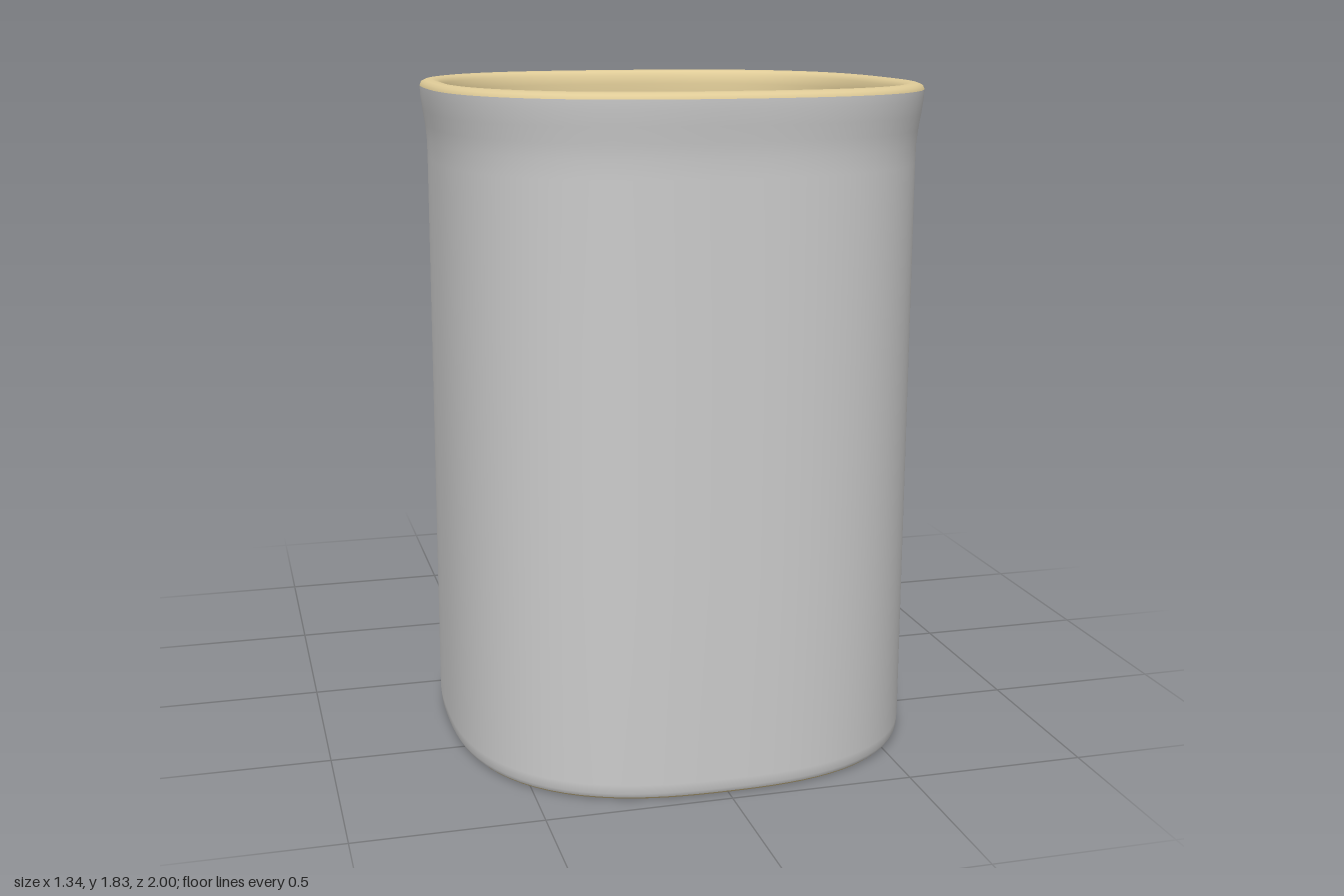
import * as THREE from 'three';

const SEG = 96;
const CENTRE_Z = 0.32;

// Point on a unit rounded square (superellipse) at angle t
function roundedSquare(t, n) {
  const c = Math.cos(t), s = Math.sin(t);
  const r = Math.pow(Math.pow(Math.abs(c), n) + Math.pow(Math.abs(s), n), -1 / n);
  return [c * r, s * r];
}

// Smooth skin over rows of closed loops; place(row, t) gives each point
function loft(rows, seg, place) {
  const pos = [], index = [];
  rows.forEach((row, i) => {
    for (let j = 0; j < seg; j++) {
      pos.push(...place(row, (j / seg) * Math.PI * 2));
      if (i === rows.length - 1) continue;
      const a = i * seg + j, c = i * seg + (j + 1) % seg;
      index.push(a, a + seg, c, c, a + seg, c + seg);
    }
  });
  const geo = new THREE.BufferGeometry();
  geo.setAttribute('position', new THREE.Float32BufferAttribute(pos, 3));
  geo.setIndex(index);
  geo.computeVertexNormals();
  return geo;
}

// Sweep a [radius, height] profile round the mug's rounded-square plan
function mugSkin(profile) {
  return loft(profile, SEG, ([r, y], t) => {
    const [x, z] = roundedSquare(t, 2.6);
    return [x * r, y, CENTRE_Z + z * r * 1.011];
  });
}

// Handle outlines as [z, y], running from the upper joint to the lower one
const OUTER = [[-0.31, 1.50], [-0.35, 1.50], [-0.42, 1.508], [-0.55, 1.518], [-0.70, 1.523], [-0.84, 1.515],
  [-0.93, 1.46], [-0.98, 1.34], [-1.0, 1.2], [-0.985, 1.04], [-0.945, 0.89], [-0.86, 0.765],
  [-0.74, 0.665], [-0.62, 0.585], [-0.52, 0.49], [-0.43, 0.375], [-0.36, 0.305], [-0.31, 0.28]];
const INNER = [[-0.31, 1.20], [-0.36, 1.235], [-0.42, 1.30], [-0.50, 1.365], [-0.60, 1.395], [-0.70, 1.40],
  [-0.78, 1.375], [-0.825, 1.31], [-0.843, 1.2], [-0.84, 1.08], [-0.825, 0.975], [-0.785, 0.895],
  [-0.69, 0.81], [-0.60, 0.735], [-0.52, 0.68], [-0.43, 0.643], [-0.36, 0.622], [-0.31, 0.61]];

function handleGeometry() {
  const curve = (pts) => new THREE.CatmullRomCurve3(pts.map(([z, y]) => new THREE.Vector3(0, y, z)));
  const outer = curve(OUTER), inner = curve(INNER);
  const rows = [];
  for (let i = 0; i <= 85; i++) {
    const u = i / 85;
    const o = outer.getPoint(u), n = inner.getPoint(u);
    rows.push({
      mid: o.clone().add(n).multiplyScalar(0.5),
      half: o.clone().sub(n).multiplyScalar(0.5),
      // slight spread where the handle meets the wall
      w: 0.13 + 0.012 * Math.pow(Math.abs(2 * u - 1), 14),
    });
  }
  return loft(rows, 40, ({ mid, half, w }, t) => {
    const [a, b] = roundedSquare(t, 3.2);
    return [0.01 - b * w, mid.y + half.y * a, mid.z + half.z * a];
  });
}

export function createModel() {
  const mug = new THREE.Group();
  mug.name = 'mug';
  const grey = new THREE.MeshStandardMaterial({ color: 0xcccccc, side: THREE.DoubleSide });
  const cream = new THREE.MeshStandardMaterial({ color: 0xe0cc98, side: THREE.DoubleSide });
  const add = (name, geo, mat) => {
    const mesh = new THREE.Mesh(geo, mat);
    mesh.name = name;
    mug.add(mesh);
  };

  // Outer wall with the flared lip
  add('outerWall', mugSkin([[0.643, 0.008], [0.649, 0.02], [0.651, 0.045], [0.651, 0.6], [0.651, 1.2],
    [0.651, 1.62], [0.652, 1.67], [0.656, 1.71], [0.662, 1.75], [0.667, 1.79], [0.668, 1.815]]), grey);

  // Rounded rim, inner wall and floor
  add('rimAndInterior', mugSkin([[0.668, 1.815], [0.664, 1.825], [0.653, 1.83], [0.635, 1.832], [0.618, 1.828],
    [0.607, 1.815], [0.602, 1.79], [0.6, 1.74], [0.598, 1.2], [0.598, 0.6], [0.598, 0.16],
    [0.592, 0.125], [0.575, 0.1], [0.54, 0.088], [0.4, 0.085], [0, 0.085]]), cream);

  // Thin unglazed foot
  add('footRing', mugSkin([[0.615, 0.007], [0.62, 0.001], [0.628, 0], [0.637, 0.002], [0.643, 0.008]]), cream);

  // Shallow recess underneath
  add('underside', mugSkin([[0, 0.04], [0.4, 0.04], [0.53, 0.036], [0.58, 0.026], [0.605, 0.014], [0.615, 0.007]]), grey);

  add('handle', handleGeometry(), grey);
  return mug;
}
